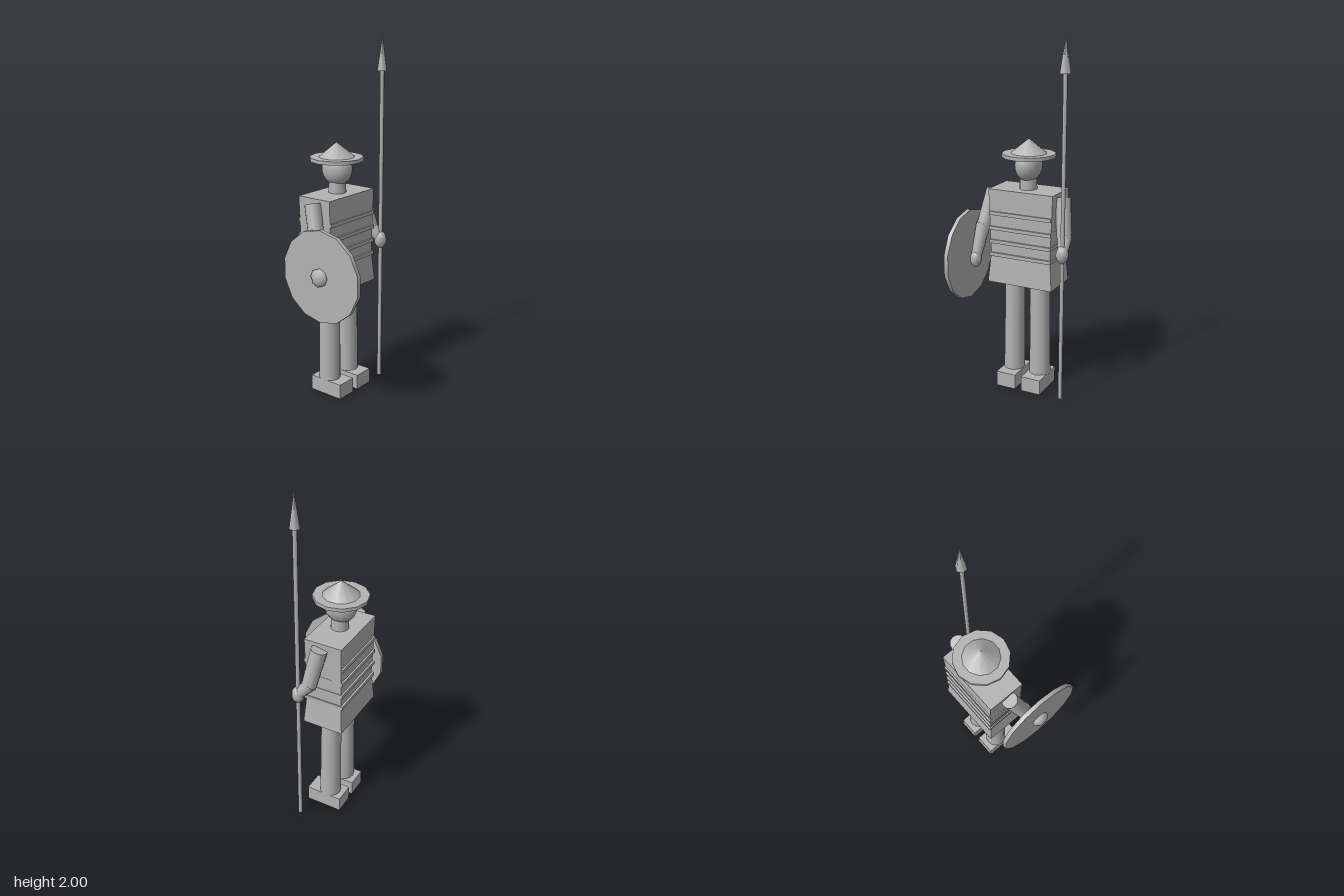
import * as THREE from 'three';

const V = (x, y, z) => new THREE.Vector3(x, y, z);

export function createModel() {
  const model = new THREE.Group();
  const grey = new THREE.MeshStandardMaterial({ color: 0xb3b3b3 });
  grey.name = 'stone grey';
  const CX = 0.025, CZ = -0.124; // body axis

  function add(name, geometry, x = 0, y = 0, z = 0) {
    const mesh = new THREE.Mesh(geometry, grey);
    mesh.name = name;
    mesh.position.set(x, y, z);
    model.add(mesh);
    return mesh;
  }

  // tapered round limb between two points
  function limb(name, from, to, r0, r1, sides = 12) {
    const dir = to.clone().sub(from);
    const mesh = add(name, new THREE.CylinderGeometry(r1, r0, dir.length(), sides));
    mesh.position.copy(from).add(to).multiplyScalar(0.5);
    mesh.quaternion.setFromUnitVectors(V(0, 1, 0), dir.normalize());
    return mesh;
  }

  function ball(name, c, rx, ry, rz, w = 16, h = 12) {
    const mesh = add(name, new THREE.SphereGeometry(1, w, h), c.x, c.y, c.z);
    mesh.scale.set(rx, ry, rz);
    return mesh;
  }

  // box whose top and bottom have their own half widths
  function taperedBox(name, y0, y1, hx0, hz0, hx1, hz1) {
    const g = new THREE.BoxGeometry(2, y1 - y0, 2).toNonIndexed();
    const p = g.attributes.position;
    for (let i = 0; i < p.count; i++) {
      const top = p.getY(i) > 0;
      p.setX(i, p.getX(i) * (top ? hx1 : hx0));
      p.setZ(i, p.getZ(i) * (top ? hz1 : hz0));
    }
    g.computeVertexNormals();
    return add(name, g, CX, (y0 + y1) / 2, CZ);
  }

  // armoured tunic: chest, skirt and four raised bands
  taperedBox('chest', 0.8, 1.165, 0.18, 0.104, 0.193, 0.108);
  taperedBox('skirt', 0.63, 0.8, 0.195, 0.117, 0.18, 0.104);
  for (const y of [1.03, 0.945, 0.868, 0.793]) {
    taperedBox('armourBand', y - 0.01, y + 0.01, 0.186, 0.116, 0.186, 0.116);
  }

  // legs and feet
  for (const s of [-1, 1]) {
    limb('leg', V(CX + s * 0.082, 0.08, -0.115), V(CX + s * 0.077, 0.65, -0.115), 0.061, 0.056, 16);
    add('foot', new THREE.BoxGeometry(0.117, 0.087, 0.21), CX + s * 0.0785, 0.0435, -0.1);
  }

  // neck, head and hat
  limb('neck', V(CX, 1.15, -0.12), V(CX, 1.25, -0.12), 0.049, 0.047, 16);
  ball('head', V(CX, 1.3, -0.122), 0.074, 0.096, 0.092);
  add('hatBrim', new THREE.CylinderGeometry(0.149, 0.149, 0.02, 12), CX, 1.353, -0.125);
  const crown = add('hatCrown', new THREE.ConeGeometry(0.102, 0.082, 12), CX, 1.402, -0.125);
  crown.rotation.y = Math.PI / 12;

  // left arm holding the spear
  const elbowL = V(0.265, 0.925, -0.072);
  limb('leftUpperArm', elbowL, V(0.235, 1.14, -0.115), 0.041, 0.045);
  limb('leftForearm', V(0.279, 0.865, -0.022), V(0.265, 0.935, -0.08), 0.03, 0.04);
  ball('leftHand', V(0.28, 0.852, -0.012), 0.036, 0.05, 0.036, 10, 8);

  // right arm carrying the shield
  limb('rightUpperArm', V(-0.223, 0.925, -0.055), V(-0.185, 1.14, -0.118), 0.042, 0.045);
  limb('rightForearm', V(-0.24, 0.77, 0.0), V(-0.222, 0.95, -0.055), 0.029, 0.041);
  ball('rightHand', V(-0.24, 0.757, 0.005), 0.032, 0.049, 0.036, 10, 8);

  // spear
  add('spearShaft', new THREE.CylinderGeometry(0.012, 0.012, 1.82, 8), 0.281, 0.91, -0.012);
  add('spearHead', new THREE.ConeGeometry(0.03, 0.19, 6), 0.281, 1.905, -0.012);

  // round shield with a raised boss on its outer face
  const shield = add('shield', new THREE.CylinderGeometry(0.256, 0.256, 0.024, 14), -0.277, 0.786, 0.017);
  shield.rotation.set(0, 0, Math.PI / 2);
  shield.geometry.rotateY(Math.PI / 2);
  const boss = add('shieldBoss', new THREE.LatheGeometry(
    [[0.05, 0], [0.05, 0.018], [0.026, 0.036], [0, 0.037]].map(([r, y]) => new THREE.Vector2(r, y)), 8),
  -0.288, 0.786, 0.017);
  boss.rotation.z = Math.PI / 2;

  return model;
}
